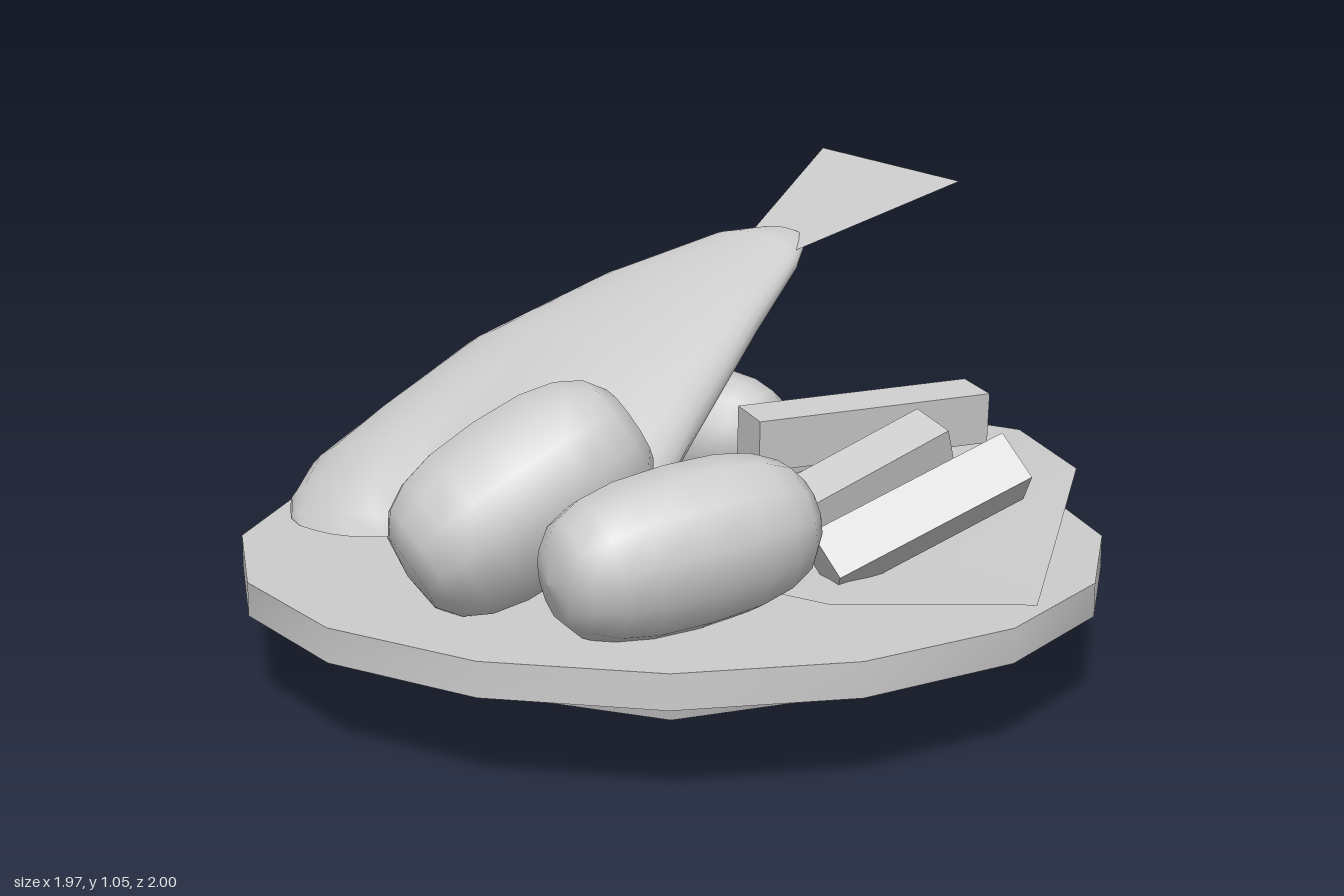
import * as THREE from 'three';
import { toCreasedNormals } from 'three/addons/utils/BufferGeometryUtils.js';

const flat = new THREE.MeshStandardMaterial({ color: 0xcccccc, flatShading: true });
const thin = new THREE.MeshStandardMaterial({ color: 0xcccccc, side: THREE.DoubleSide });
const smooth = new THREE.MeshStandardMaterial({ color: 0xcccccc });

function add(parent, name, geometry, material) {
  const mesh = new THREE.Mesh(geometry, material);
  mesh.name = name;
  parent.add(mesh);
  return mesh;
}

function surface(positions, index) {
  const g = new THREE.BufferGeometry();
  g.setAttribute('position', new THREE.Float32BufferAttribute(positions, 3));
  g.setIndex(index);
  g.computeVertexNormals();
  return g;
}

// Leaf: flat middle lying on the plate, with a raised rim around it
function leafSurface() {
  const rim = [
    [0.04, 0.39, -1.0], [-0.22, 0.38, -0.82], [-0.47, 0.37, -0.66], [-0.74, 0.34, -0.5],
    [-0.8, 0.3, -0.15], [-0.85, 0.29, 0.1], [-0.4, 0.285, 0.2], [0.15, 0.285, 0.23],
    [0.63, 0.29, 0.18], [0.98, 0.31, -0.07], [0.8, 0.35, -0.37], [0.63, 0.43, -0.67], [0.35, 0.45, -0.82],
  ];
  const n = rim.length, index = [];
  const inner = rim.map(([x, , z]) => [0.05 + (x - 0.05) * 0.6, 0.286, -0.1 + (z + 0.1) * 0.6]);
  for (let i = 0; i < n; i++) {
    const k = (i + 1) % n;
    index.push(i, k, n + i, k, n + k, n + i, n + i, n + k, 2 * n);
  }
  return surface([...rim, ...inner, [0.05, 0.286, -0.1]].flat(), index);
}

// Fish body: domed rings [z, xLeft, xRight, yEdge, heightAbove, depthBelow], notched at the wide end
function fishBody() {
  const rows = [
    [-0.60, -0.27, -0.20, 0.885, 0, 0], [-0.59, -0.31, -0.14, 0.88, 0.025, 0.025],
    [-0.50, -0.41, -0.085, 0.84, 0.06, 0.06], [-0.30, -0.60, -0.025, 0.725, 0.1, 0.09],
    [0.00, -0.775, 0.075, 0.545, 0.165, 0.12], [0.25, -0.865, 0.14, 0.35, 0.235, 0.065],
    [0.40, -0.865, 0.15, 0.302, 0.195, 0.02], [0.50, -0.79, 0.12, 0.295, 0.12, 0.01],
    [0.565, -0.70, 0.05, 0.292, 0.05, 0.005], [0.585, -0.64, 0.0, 0.29, 0, 0],
  ];
  const sides = 36, pos = [], index = [];
  rows.forEach(([z, x0, x1, y, above, below], i) => {
    const notch = 0.12 * THREE.MathUtils.smoothstep(z, 0.1, 0.585);
    for (let j = 0; j < sides; j++) {
      const a = (j / sides) * Math.PI * 2, s = Math.sin(a);
      const x = (x0 + x1) / 2 + Math.cos(a) * (x1 - x0) / 2;
      const dip = Math.exp(-(((x + 0.36) / 0.1) ** 2));
      pos.push(x, Math.max(0.285, y + s * (s > 0 ? above : below)), z - notch * dip);
      if (i < rows.length - 1) {
        const k = (j + 1) % sides, p = i * sides, q = p + sides;
        index.push(p + j, p + k, q + j, p + k, q + k, q + j);
      }
    }
  });
  return surface(pos, index);
}

// Potato: lathed blunt capsule, its axis turned along dir
function potato(parent, center, dir, radius, half) {
  const profile = [];
  for (let i = 0; i <= 10; i++) {
    const a = (i / 10 - 0.5) * Math.PI;
    const r = Math.pow(Math.max(0, Math.cos(a)), 0.65);
    const y = Math.sign(a) * Math.pow(Math.abs(Math.sin(a)), 0.8);
    profile.push(new THREE.Vector2(r * radius, y * half));
  }
  const mesh = add(parent, 'potato', new THREE.LatheGeometry(profile, 12), smooth);
  mesh.position.set(...center);
  mesh.quaternion.setFromUnitVectors(new THREE.Vector3(0, 1, 0), new THREE.Vector3(...dir).normalize());
}

// Chip: square stick between two end points
function chip(parent, from, to, roll) {
  const a = new THREE.Vector3(...from), b = new THREE.Vector3(...to);
  const mesh = add(parent, 'chip', new THREE.BoxGeometry(0.12, 0.12, a.distanceTo(b)), flat);
  mesh.position.copy(a).lerp(b, 0.5);
  mesh.lookAt(b);
  mesh.rotateZ(roll);
}

// Plate section: smooth round the side, sharp at the edges
function disc(parent, name, top, bottom, height, sides, y) {
  const g = toCreasedNormals(new THREE.CylinderGeometry(top, bottom, height, sides), 0.9);
  add(parent, name, g, smooth).position.set(0, y, 0.01);
}

export function createModel() {
  const model = new THREE.Group();
  model.name = 'fishPlatter';

  // Plate: rim, sloping underside and eight-sided foot
  const plate = new THREE.Group();
  plate.name = 'plate';
  model.add(plate);
  disc(plate, 'rim', 0.985, 0.985, 0.075, 16, 0.2425);
  disc(plate, 'underside', 0.985, 0.49, 0.095, 16, 0.1575);
  disc(plate, 'foot', 0.5, 0.465, 0.115, 8, 0.0575);

  // Leaf under the food, curling up at the back
  add(model, 'leaf', leafSurface(), thin);

  // Fish leaning on a hidden potato, tail in the air
  const fish = new THREE.Group();
  fish.name = 'fish';
  model.add(fish);
  add(fish, 'body', fishBody(), smooth);
  const tail = [-0.27, 0.77, -0.36, 0.17, 1.035, -0.79, -0.42, 1.05, -0.96];
  add(fish, 'tail', surface(tail, [0, 1, 2]), thin);

  // Potatoes
  potato(model, [0.135, 0.5, 0.585], [0.36, 0.5, -0.78], 0.193, 0.285);
  potato(model, [0.485, 0.44, 0.465], [0.32, 0.14, -0.92], 0.172, 0.295);
  potato(model, [-0.31, 0.43, -0.34], [0.94, 0, -0.3], 0.153, 0.267);

  // Chips
  chip(model, [0.12, 0.35, 0.06], [0.07, 0.39, -0.56], 0);
  chip(model, [0.28, 0.36, -0.03], [0.2, 0.37, -0.65], 0.5);
  chip(model, [0.145, 0.515, -0.09], [0.365, 0.53, -0.63], 0.1);
  chip(model, [0.31, 0.33, 0.11], [0.47, 0.52, -0.36], 0.25);
  chip(model, [0.5, 0.32, 0.05], [0.685, 0.5, -0.36], 0.85);
  return model;
}
